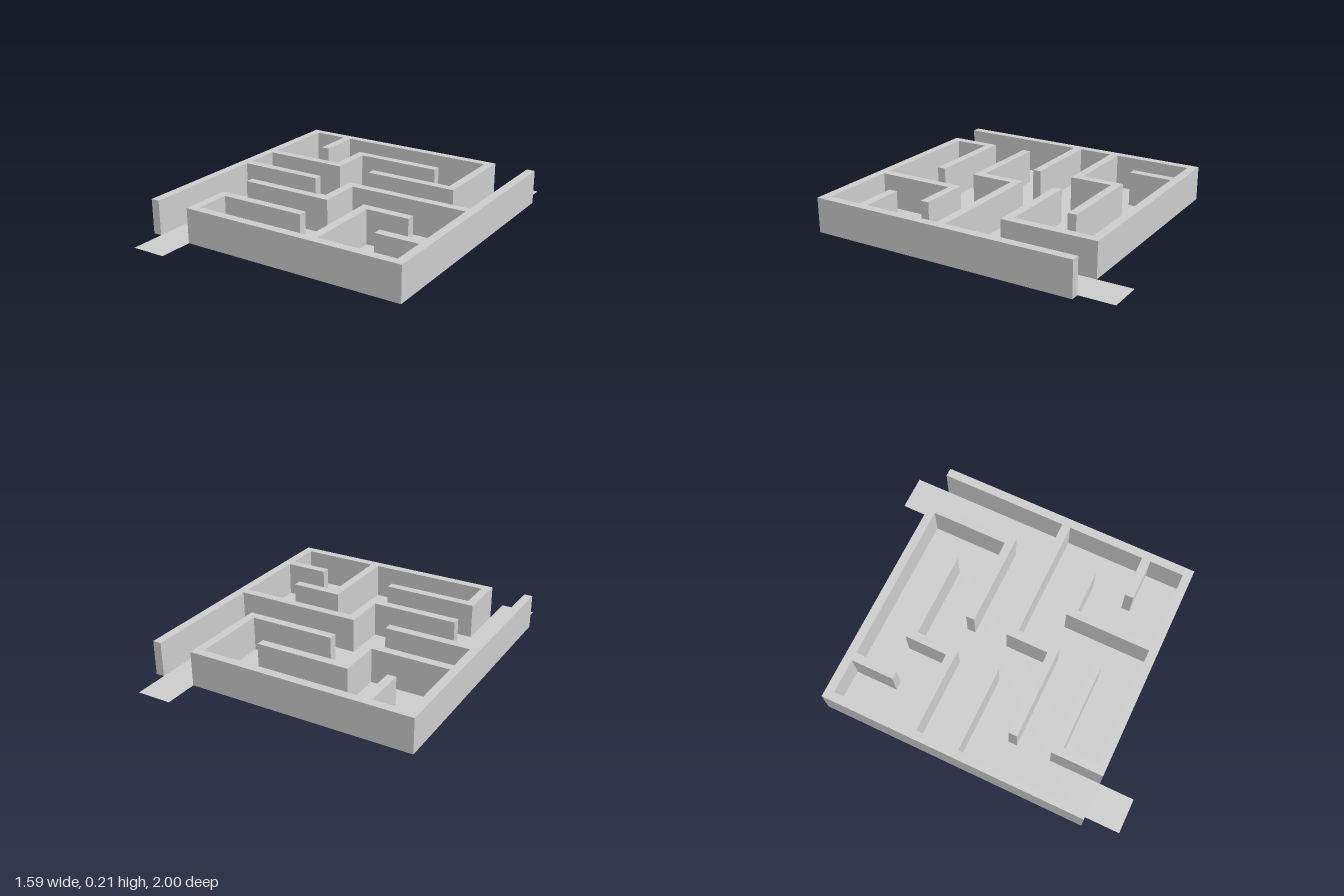
import * as THREE from 'three';

const CELL = 1 / 3.9;      // size of one maze cell
const HEIGHT = 0.8 * CELL; // wall height

// Plan outlines as [x, z] in cells; walls are 0.2 cells thick.
const WALL_FROM_LEFT = [
  [-3.1, 3.1], [-2.9, 3.1],
  [-2.9, 0.1], [-0.9, 0.1], [-0.9, -0.1], [-2.9, -0.1],     // middle stub
  [-2.9, -0.9], [-0.9, -0.9], [-0.9, -1.9], [1.1, -1.9],    // stepped wall
  [1.1, -2.1], [-1.1, -2.1], [-1.1, -1.1], [-2.9, -1.1],
  [-2.9, -2.9], [-2.1, -2.9], [-2.1, -1.9], [-1.9, -1.9], [-1.9, -2.9], // back stub
  [1.9, -2.9], [1.9, -1.1], [-0.1, -1.1], [-0.1, -0.9], [2.1, -0.9],    // hook by the back opening
  [2.1, -3.1], [-3.1, -3.1],
];
const WALL_FROM_RIGHT = [
  [3.1, -3.1], [2.9, -3.1],
  [2.9, -0.1], [-0.1, -0.1], [-0.1, 0.9], [-2.1, 0.9],      // stepped wall
  [-2.1, 1.1], [0.1, 1.1], [0.1, 0.1], [2.9, 0.1],
  [2.9, 1.9], [1.9, 1.9], [1.9, 2.1], [2.9, 2.1], [2.9, 2.9],           // side stub
  [1.1, 2.9], [1.1, 1.1], [2.1, 1.1], [2.1, 0.9], [0.9, 0.9], [0.9, 2.9], // inner hook
  [-1.9, 2.9], [-1.9, 2.1], [0.1, 2.1], [0.1, 1.9], [-2.1, 1.9],        // hook by the front opening
  [-2.1, 3.1], [3.1, 3.1],
];
// Square floor with a tab at each opening
const FLOOR = [
  [-3.1, -3.1], [2.1, -3.1], [2.1, -3.9], [2.9, -3.9], [2.9, -3.1], [3.1, -3.1],
  [3.1, 3.1], [-2.1, 3.1], [-2.1, 3.9], [-2.9, 3.9], [-2.9, 3.1], [-3.1, 3.1],
];

const planShape = (points) =>
  new THREE.Shape(points.map(([x, z]) => new THREE.Vector2(x * CELL, -z * CELL)));

export function createModel() {
  const model = new THREE.Group();
  model.name = 'maze';

  // Lay each plan flat, with its thickness pointing up
  const add = (name, geometry, side = THREE.FrontSide) => {
    geometry.rotateX(-Math.PI / 2);
    const material = new THREE.MeshStandardMaterial({ color: 0xcccccc, side });
    const mesh = new THREE.Mesh(geometry, material);
    mesh.name = name;
    model.add(mesh);
  };

  const wall = (points) =>
    new THREE.ExtrudeGeometry(planShape(points), { depth: HEIGHT, bevelEnabled: false });

  add('rightBackWalls', wall(WALL_FROM_LEFT));
  add('leftFrontWalls', wall(WALL_FROM_RIGHT));
  add('floor', new THREE.ShapeGeometry(planShape(FLOOR)), THREE.DoubleSide);

  return model;
}
